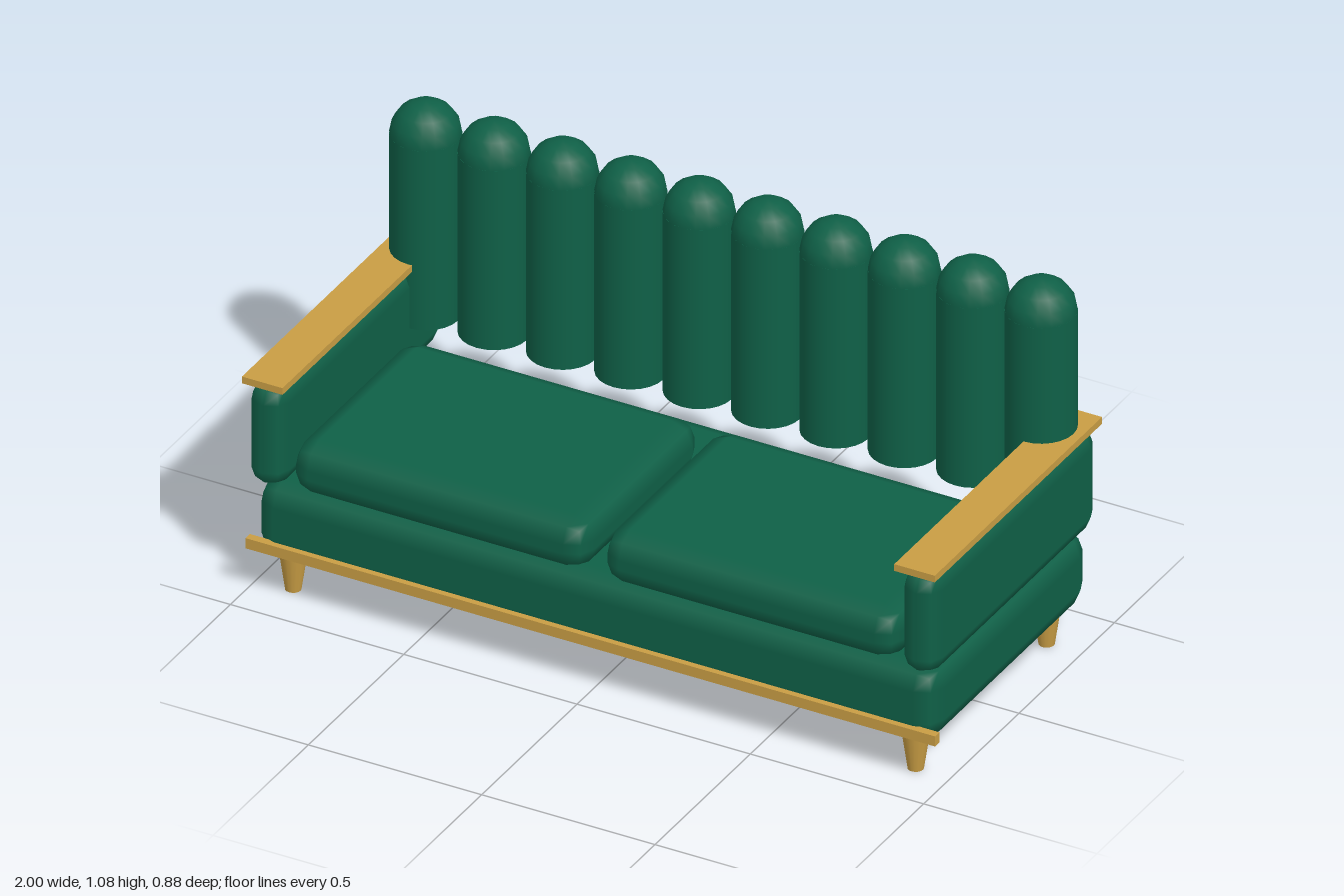
import * as THREE from 'three';
import { RoundedBoxGeometry } from 'three/addons/geometries/RoundedBoxGeometry.js';

export function createModel() {
  const sofa = new THREE.Group();
  sofa.name = 'sofa';

  const velvet = new THREE.MeshStandardMaterial({ color: 0x0f6047 });
  velvet.name = 'green velvet';
  const brass = new THREE.MeshStandardMaterial({ color: 0xc89d44 });
  brass.name = 'brass';

  const add = (name, geometry, material, x, y, z) => {
    const mesh = new THREE.Mesh(geometry, material);
    mesh.name = name;
    mesh.position.set(x, y, z);
    sofa.add(mesh);
    return mesh;
  };
  // upholstered block with chamfer-like rounded edges
  const padded = (w, h, d, r) => new RoundedBoxGeometry(w, h, d, 1, r);

  // seat base and the trim along its front
  add('seatBase', padded(1.966, 0.214, 0.83, 0.06), velvet, 0, 0.217, 0.002);
  add('frontTrim', new THREE.BoxGeometry(1.99, 0.03, 0.023), brass, 0, 0.146, 0.419);

  const cushion = padded(0.856, 0.147, 0.632, 0.06);
  const arm = padded(0.107, 0.3, 0.874, 0.05);
  const armCap = new THREE.BoxGeometry(0.117, 0.02, 0.877);
  const leg = new THREE.CylinderGeometry(0.037, 0.021, 0.11, 16);

  // mirrored parts
  for (const [side, s] of [['left', 1], ['right', -1]]) {
    add(side + 'Cushion', cushion, velvet, s * 0.449, 0.397, 0.112);
    add(side + 'Arm', arm, velvet, s * 0.942, 0.474, 0.002);
    add(side + 'ArmCap', armCap, brass, s * 0.941, 0.634, 0.002);
    add(side + 'FrontLeg', leg, brass, s * 0.898, 0.055, 0.356);
    add(side + 'BackLeg', leg, brass, s * 0.898, 0.055, -0.33);
  }

  // channelled backrest: a row of round-topped bolsters
  const tube = new THREE.CylinderGeometry(0.093, 0.093, 0.53, 24);
  const dome = new THREE.SphereGeometry(0.0935, 16, 4, 0, Math.PI * 2, 0, Math.PI / 2);
  for (let i = 0; i < 10; i++) {
    const x = -0.893 + i * 0.1973;
    add('backBolster' + (i + 1), tube, velvet, x, 0.72, -0.33);
    add('backBolsterTop' + (i + 1), dome, velvet, x, 0.985, -0.33);
  }

  return sofa;
}
